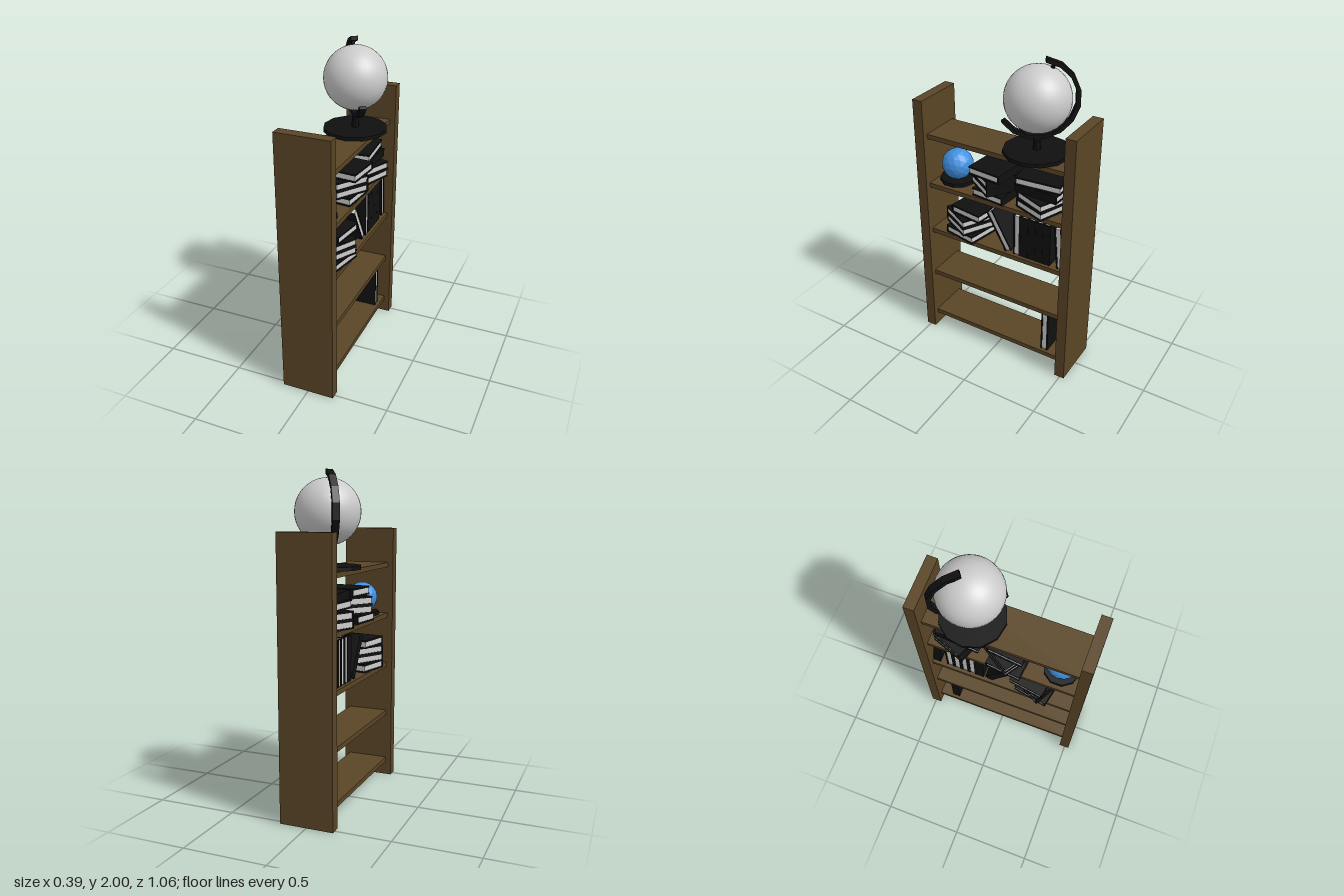
import * as THREE from 'three';

const mat = (name, color, flatShading = false) =>
  Object.assign(new THREE.MeshStandardMaterial({ color, flatShading }), { name });

export function createModel() {
  const wood = mat('brown wood', 0x5a4526);
  const black = mat('black', 0x101010, true);
  const white = mat('white paper', 0xcccccc);
  const blue = mat('blue', 0x4090e0, true);
  const model = new THREE.Group();
  model.name = 'bookcase';

  const add = (parent, name, geometry, material, x = 0, y = 0, z = 0) => {
    const mesh = new THREE.Mesh(geometry, material);
    mesh.name = name;
    mesh.position.set(x, y, z);
    parent.add(mesh);
    return mesh;
  };
  const box = (w, h, d) => new THREE.BoxGeometry(w, h, d);

  // Bookcase frame: two end panels and five shelves
  for (const s of [-1, 1]) add(model, 'endPanel', box(0.33, 1.66, 0.065), wood, 0, 0.83, s * 0.4955);
  for (let i = 0; i < 5; i++) add(model, 'shelf', box(0.26, 0.03, 0.93), wood, 0, 0.105 + i * 0.33, 0);

  // Upright book: height along y, thickness along z, spine at -x
  const makeBook = (height = 0.28, width = 0.22, thick = 0.05) => {
    const book = new THREE.Group();
    book.name = 'book';
    const t = 0.01;
    for (const s of [-1, 1]) add(book, 'cover', box(width, height, t), black, 0, 0, s * (thick - t) / 2);
    add(book, 'spine', box(t, height, thick - 2 * t), black, -(width - t) / 2, 0, 0);
    add(book, 'pages', box(width - t - 0.004, height - 0.008, thick - 2 * t), white, t / 2 - 0.002, 0, 0);
    model.add(book);
    return book;
  };
  const standing = (y, z, { lean = 0, spineOut = false, height = 0.275 } = {}) => {
    const book = makeBook(height, 0.22, 0.049);
    book.position.set(0, y, z);
    book.rotation.set(lean, spineOut ? Math.PI : 0, 0);
  };
  // Lying book: height along x, spine at -z, then turned about y
  const X = new THREE.Vector3(1, 0, 0), Y = new THREE.Vector3(0, 1, 0), Z = new THREE.Vector3(0, 0, 1);
  const lie = new THREE.Quaternion().setFromRotationMatrix(new THREE.Matrix4().makeBasis(Z, X, Y));
  const stack = (base, rows) => rows.forEach(([x, z, yaw], i) => {
    const book = makeBook(0.28, 0.22, 0.052);
    book.position.set(x, base + 0.026 + i * 0.0525, z);
    book.quaternion.setFromAxisAngle(Y, yaw).multiply(lie);
  });

  // Book on the bottom shelf
  standing(0.26, -0.353, { height: 0.28 });

  // Middle shelf: upright row, two leaning books and a stack
  for (let i = 0; i < 5; i++) standing(0.917, -0.145 - i * 0.05, { spineOut: i > 0 });
  standing(0.917, -0.427, { lean: 0.09 });
  standing(0.907, -0.021, { lean: 0.51 });
  stack(0.78, [
    [0, 0.225, Math.PI - 0.2], [0, 0.225, Math.PI - 0.5],
    [0, 0.225, Math.PI - 0.5], [-0.01, 0.19, Math.PI - 0.15],
  ]);

  // Upper shelf: two stacks
  stack(1.11, [[-0.01, 0.035, -0.1], [0, 0.035, -0.58], [0, 0.035, -0.58], [0.022, 0.036, -0.1]]);
  stack(1.11, [
    [0, -0.28, Math.PI - 0.36], [0, -0.285, Math.PI - 0.4],
    [0, -0.27, -Math.PI / 2 - 0.08], [0, -0.267, Math.PI / 2 + 0.08],
  ]);

  // Blue faceted ball on a stand
  add(model, 'ballStand', new THREE.CylinderGeometry(0.11, 0.11, 0.024, 10), black, 0, 1.122, 0.34);
  add(model, 'ball', new THREE.IcosahedronGeometry(0.098, 2), blue, 0, 1.222, 0.34);

  // Desk globe
  const globe = new THREE.Group();
  globe.name = 'globe';
  globe.position.set(0, 1.765, -0.206);
  globe.rotation.y = 2.18;
  model.add(globe);
  add(globe, 'globeSphere', new THREE.SphereGeometry(0.19, 32, 20), white);
  add(globe, 'globeBase', new THREE.CylinderGeometry(0.195, 0.195, 0.022, 12), black, 0, -0.312, 0);
  add(globe, 'globeStem', new THREE.CylinderGeometry(0.018, 0.024, 0.085, 8), black, 0, -0.263, 0);

  // Segmented arm around the globe
  const arm = [], start = 1.4, end = -2.57, n = 10;
  const ring = (r, i) => {
    const a = start + (end - start) * i / n;
    return new THREE.Vector2(r * Math.cos(a), r * Math.sin(a));
  };
  for (let i = 0; i <= n; i++) arm.push(ring(0.237, i));
  for (let i = n; i >= 0; i--) arm.push(ring(0.212, i));
  const armGeo = new THREE.ExtrudeGeometry(new THREE.Shape(arm), { depth: 0.04, bevelEnabled: false });
  add(globe, 'globeArm', armGeo.translate(0, 0, -0.02), black);

  // Tilted axis pins
  const tilt = 67 * Math.PI / 180;
  for (const s of [-1, 1]) {
    const pin = add(globe, 'axisPin', new THREE.CylinderGeometry(0.012, 0.012, 0.04, 8), black,
      s * 0.2 * Math.cos(tilt), s * 0.2 * Math.sin(tilt), 0);
    pin.rotation.z = tilt - Math.PI / 2;
  }
  return model;
}
